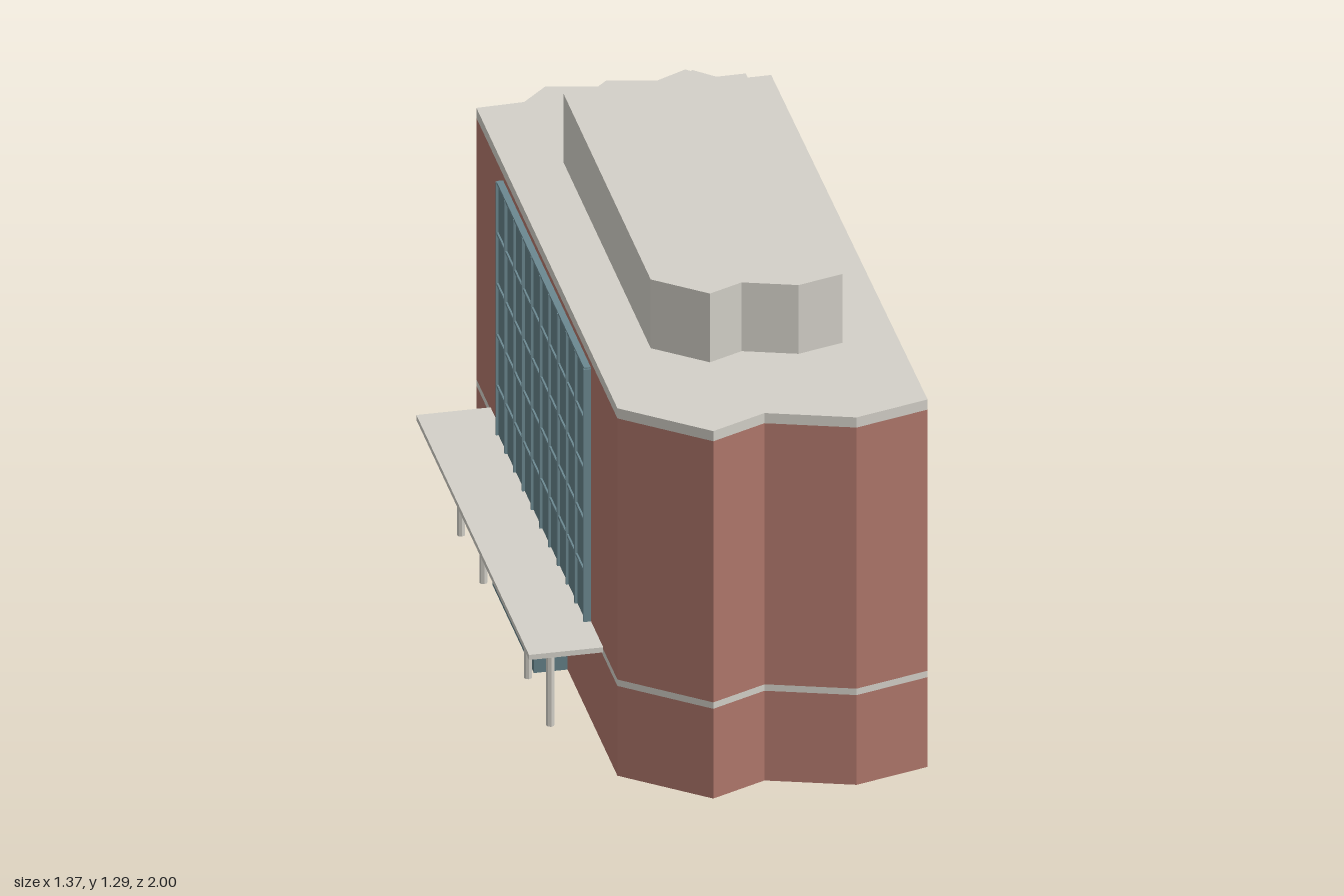
import * as THREE from 'three';

const mat = (color) => new THREE.MeshStandardMaterial({ color, flatShading: true });
const brick = mat(0xb0776b), stone = mat(0xd3d0c8), glass = mat(0x638088), frame = mat(0x6b8890);

// Plan of the building as [x, z] corners
const plan = [
  [-0.08, -0.98], [0.045, -0.95], [0.135, -1], [0.357, -0.88], [0.5, -0.91], [0.56, -0.81],
  [0.683, -0.777], [0.19, 1], [-0.02, 1], [-0.22, 0.865], [-0.385, 0.89], [-0.545, 0.66],
];

// Upright prism over the plan between two heights
function storey(name, y0, y1, material, scale = 1, shiftX = 0) {
  const shape = new THREE.Shape(plan.map(([x, z]) => new THREE.Vector2(x * scale + shiftX, -z * scale)));
  const geo = new THREE.ExtrudeGeometry(shape, { depth: y1 - y0, bevelEnabled: false });
  geo.rotateX(-Math.PI / 2).translate(0, y0, 0);
  const mesh = new THREE.Mesh(geo, material);
  mesh.name = name;
  return mesh;
}

// Box given by its ranges along the wall, upward and outward from the wall
function block(name, [x0, x1], [y0, y1], [z0, z1], material) {
  const mesh = new THREE.Mesh(new THREE.BoxGeometry(x1 - x0, y1 - y0, z1 - z0), material);
  mesh.position.set((x0 + x1) / 2, (y0 + y1) / 2, (z0 + z1) / 2);
  mesh.name = name;
  return mesh;
}

// Glazed grid on the entrance wall
function curtainWall() {
  const g = new THREE.Group();
  g.name = 'curtainWall';
  const half = 0.53, bottom = 0.285, top = 1.035, cols = 10, rows = 5, t = 0.004;
  g.add(block('glazing', [-half, half], [bottom, top], [-0.005, 0.013], glass));
  for (let i = 0; i <= cols; i++) {
    const x = -half + (2 * half * i) / cols;
    g.add(block('mullion', [x - t, x + t], [bottom, top], [0, 0.02], frame));
  }
  for (let j = 0; j <= rows; j++) {
    const y = bottom + ((top - bottom) * j) / rows;
    g.add(block('transom', [-half, half], [y - t, y + t], [0, 0.018], frame));
  }
  return g;
}

// Canopy on posts, with the glazed lobby beneath
function entrance() {
  const g = new THREE.Group();
  g.name = 'entrance';
  g.add(block('canopy', [-0.681, 0.681], [0.275, 0.29], [-0.003, 0.198], stone));
  g.add(block('lobby', [-0.25, 0.25], [0, 0.265], [-0.005, 0.09], glass));
  for (const x of [-0.54, -0.27, 0.27, 0.54]) {
    const post = new THREE.Mesh(new THREE.CylinderGeometry(0.011, 0.011, 0.275, 8), stone);
    post.position.set(x, 0.1375, 0.11);
    post.name = 'canopyPost';
    g.add(post);
  }
  return g;
}

export function createModel() {
  const model = new THREE.Group();
  model.name = 'building';
  model.add(
    storey('groundFloor', 0, 0.265, brick),
    storey('stoneBand', 0.265, 0.284, stone),
    storey('upperFloors', 0.284, 1.055, brick),
    storey('roofSlab', 1.055, 1.085, stone),
    storey('penthouse', 1.085, 1.288, stone, 0.618, 0.026),
  );

  // Entrance wall frame: x runs along the wall, z points outward
  const [a, b] = [plan[0], plan[plan.length - 1]];
  const wall = new THREE.Group();
  wall.name = 'entranceWall';
  wall.position.set((a[0] + b[0]) / 2, 0, (a[1] + b[1]) / 2);
  wall.rotation.y = Math.atan2(a[1] - b[1], b[0] - a[0]);
  wall.add(curtainWall(), entrance());
  model.add(wall);
  return model;
}
